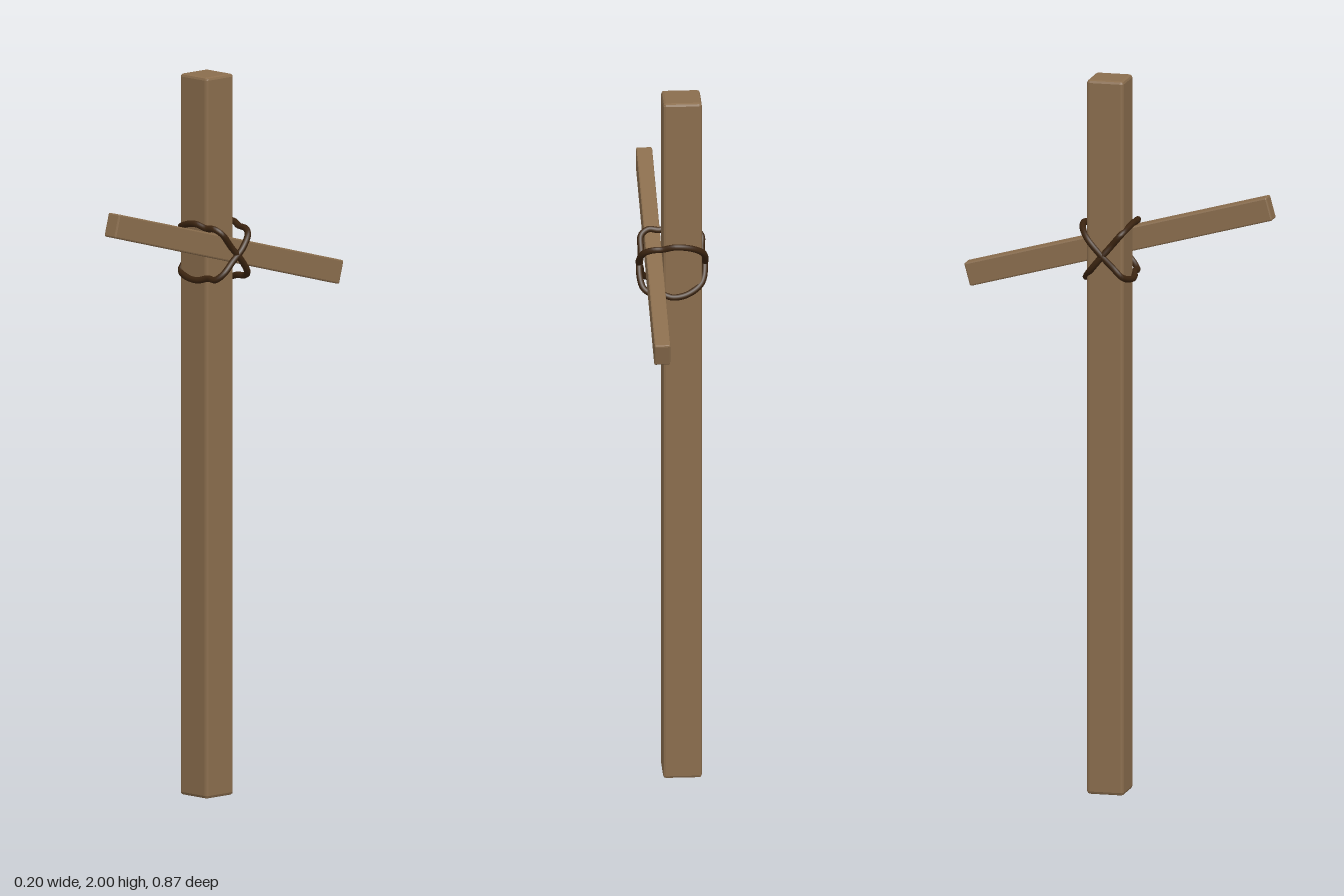
import * as THREE from 'three';
import { RoundedBoxGeometry } from 'three/addons/geometries/RoundedBoxGeometry.js';

export function createModel() {
  const model = new THREE.Group();
  model.name = 'lashedPost';

  const wood = new THREE.MeshStandardMaterial({ color: 0x8a6d4d, flatShading: true });
  wood.name = 'wood';
  const rope = new THREE.MeshStandardMaterial({ color: 0x3b2410 });
  rope.name = 'dark rope';

  // Squared timber with a single chamfer on every edge
  function beam(name, w, h, d, bevel, x, y, z) {
    const mesh = new THREE.Mesh(new RoundedBoxGeometry(w, h, d, 1, bevel), wood);
    mesh.name = name;
    mesh.position.set(x, y, z);
    model.add(mesh);
    return mesh;
  }

  beam('post', 0.106, 2, 0.104, 0.008, -0.027, 1, -0.009);
  const arm = beam('crossArm', 0.044, 0.066, 0.884, 0.004, 0.05, 1.526, 0);
  arm.rotation.x = -THREE.MathUtils.degToRad(15.2); // front end raised

  // Rope loop: a plan outline [x, z] lying on a plane tilted about x
  function lashing(name, outline, slope) {
    const points = outline.map(([x, z]) => new THREE.Vector3(x, 1.51 + slope * (z + 0.015), z));
    const path = new THREE.CatmullRomCurve3(points, true);
    const mesh = new THREE.Mesh(new THREE.TubeGeometry(path, 96, 0.009, 8, true), rope);
    mesh.name = name;
    model.add(mesh);
  }

  // Both loops wrap the post, then step in around the arm
  lashing('ropeRising', [
    [-0.09, -0.02], [-0.083, 0.01], [-0.083, 0.036], [-0.05, 0.048], [-0.005, 0.054],
    [0.03, 0.046], [0.06, 0.048], [0.081, 0.037], [0.083, 0.005], [0.09, -0.026],
    [0.08, -0.06], [0.055, -0.071], [0.03, -0.072], [0, -0.078], [-0.04, -0.073], [-0.079, -0.053],
  ], 1.2);
  lashing('ropeFalling', [
    [-0.091, -0.024], [-0.085, 0.012], [-0.08, 0.038], [-0.045, 0.05], [0, 0.053],
    [0.035, 0.045], [0.062, 0.046], [0.079, 0.032], [0.085, 0], [0.091, -0.03],
    [0.078, -0.064], [0.055, -0.075], [0.03, -0.077], [-0.005, -0.086], [-0.05, -0.079], [-0.083, -0.058],
  ], -1.07);

  return model;
}
